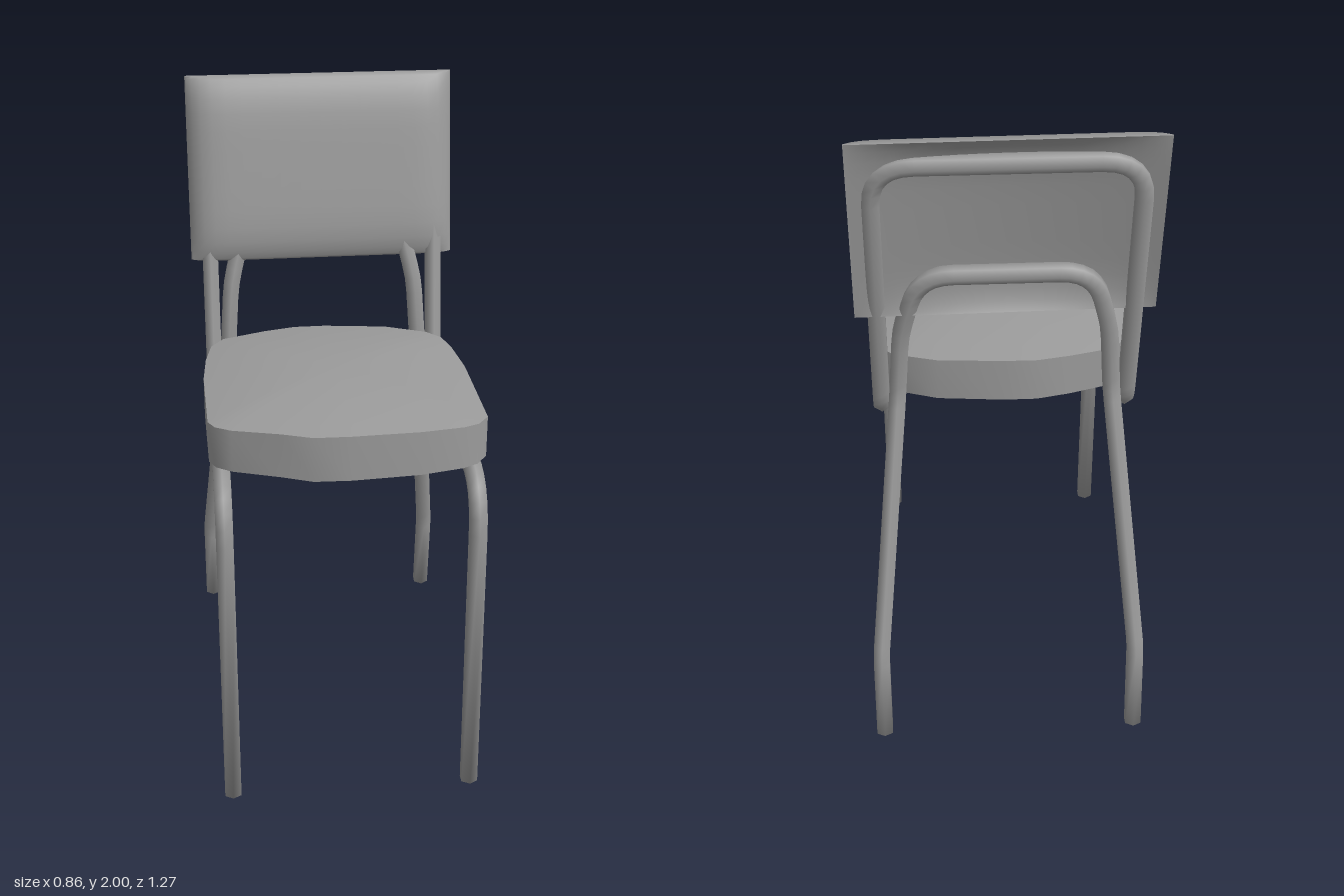
import * as THREE from 'three';
import { toCreasedNormals } from 'three/addons/utils/BufferGeometryUtils.js';

const V = (x, y, z) => new THREE.Vector3(x, y, z);
const material = new THREE.MeshStandardMaterial({ color: 0x9b9b9b });

// z of the leaning backrest line at height y
const leanZ = (y) => -0.352 - 0.184 * (y - 1.4);

function makeMesh(name, geometry, crease) {
  const mesh = new THREE.Mesh(toCreasedNormals(geometry, crease), material);
  mesh.name = name;
  return mesh;
}

function buildGeometry(positions, indices) {
  const g = new THREE.BufferGeometry();
  g.setAttribute('position', new THREE.Float32BufferAttribute(positions, 3));
  g.setIndex(indices);
  return g;
}

// Polyline with its corners rounded; each corner is [point, cut length]
function roundedPath(corners) {
  const out = [];
  corners.forEach(([p, cut], i) => {
    if (!cut) return out.push(p);
    const a = corners[i - 1][0].clone().sub(p).setLength(cut).add(p);
    const b = corners[i + 1][0].clone().sub(p).setLength(cut).add(p);
    out.push(...new THREE.QuadraticBezierCurve3(a, p, b).getPoints(cut > 0.05 ? 6 : 2));
  });
  return out;
}

// Six-sided capped tube swept along points
function tube(points, radius = 0.029, sides = 6) {
  const pos = [], idx = [], n = points.length;
  const normal = V(0, 0, 1);
  points.forEach((p, i) => {
    const t = V(0, 0, 0);
    if (i > 0) t.add(p.clone().sub(points[i - 1]).normalize());
    if (i < n - 1) t.add(points[i + 1].clone().sub(p).normalize());
    t.normalize();
    normal.addScaledVector(t, -normal.dot(t)).normalize();
    const side = t.clone().cross(normal);
    for (let k = 0; k < sides; k++) {
      const a = (k / sides) * Math.PI * 2;
      const v = p.clone().addScaledVector(normal, radius * Math.cos(a)).addScaledVector(side, radius * Math.sin(a));
      pos.push(v.x, v.y, v.z);
      if (i < n - 1) {
        const q = i * sides + k, r = i * sides + ((k + 1) % sides);
        idx.push(q, r, r + sides, q, r + sides, q + sides);
      }
    }
  });
  const last = (n - 1) * sides;
  for (let k = 1; k < sides - 1; k++) {
    idx.push(0, k + 1, k, last, last + k, last + k + 1);
  }
  return buildGeometry(pos, idx);
}

// Mirror the left half of a path to make a full hoop
function hoop(half) {
  const mirrored = half.map(([p, cut]) => [V(-p.x, p.y, p.z), cut]).reverse();
  return tube(roundedPath([...half, ...mirrored]));
}

// Seat cushion: outline rings rising to a soft dome, flat underneath
function seatGeometry() {
  const outline = [
    [-0.1, -0.285], [0, -0.285], [0.2, -0.265], [0.33, -0.217], [0.375, -0.17], [0.395, -0.08],
    [0.41, 0.08], [0.41, 0.46], [0.375, 0.51], [0.33, 0.535], [0.2, 0.566], [0, 0.583],
    [-0.11, 0.58], [-0.2, 0.542], [-0.34, 0.492], [-0.385, 0.46], [-0.405, 0.42], [-0.41, 0.1],
    [-0.4, -0.05], [-0.38, -0.16], [-0.34, -0.217], [-0.2, -0.262],
  ];
  const n = outline.length, cz = 0.15, pos = [], idx = [];
  const ring = (s, height) => outline.forEach(([x, z]) => pos.push(x * s, height(x), cz + (z - cz) * s));
  const rim = (x) => 1.187 + 0.012 * (1 - (x / 0.41) ** 2);
  const scales = [1, 0.85, 0.65, 0.45, 0.25];
  ring(1, () => 1.06);
  scales.forEach((s) => ring(s, (x) => 1.233 + (rim(x) - 1.233) * s * s));
  for (let r = 0; r < scales.length; r++) {
    for (let k = 0; k < n; k++) {
      const a = r * n + k, b = r * n + ((k + 1) % n);
      idx.push(a, a + n, b + n, a, b + n, b);
    }
  }
  const top = pos.length / 3, base = top + 1, inner = scales.length * n;
  pos.push(0, 1.233, cz, 0, 1.06, cz);
  for (let k = 0; k < n; k++) {
    const m = (k + 1) % n;
    idx.push(inner + k, top, inner + m, k, m, base);
  }
  return buildGeometry(pos, idx);
}

// Backrest: padded front thinning to sharp sides, hollowed rear, slight twist
function backrestGeometry() {
  const g = new THREE.BoxGeometry(2, 2, 2, 20, 14, 1);
  const p = g.attributes.position;
  for (let i = 0; i < p.count; i++) {
    const s = Math.sin((p.getX(i) * Math.PI) / 2);
    const t = Math.sin((p.getY(i) * Math.PI) / 2);
    const y = 1.71 + 0.29 * t;
    const offset = p.getZ(i) > 0
      ? -0.012 + (1 - s ** 14) * (0.024 + 0.034 * (1 - t ** 6))
      : -0.017 + 0.045 * (1 - s ** 2) * (1 - t ** 6);
    p.setXYZ(i, 0.432 * s, y, leanZ(y) + offset - 0.007 * s);
  }
  return g;
}

export function createModel() {
  const chair = new THREE.Group();
  chair.name = 'chair';

  // Front legs, seat rails and backrest hoop in one bent tube
  chair.add(makeMesh('mainFrame', hoop([
    [V(0.37, 0.004, 0.61), 0],
    [V(0.37, 1.03, 0.583), 0.16],
    [V(0.37, 1.03, leanZ(1.03)), 0.09],
    [V(0.37, 1.92, leanZ(1.92)), 0.12],
  ]), Math.PI));

  // Rear legs joined by an arch behind the backrest
  chair.add(makeMesh('rearLegFrame', hoop([
    [V(0.4, 0.008, -0.606), 0],
    [V(0.4, 0.3, -0.567), 0.03],
    [V(0.32, 1.12, -0.325), 0.04],
    [V(0.305, 1.34, leanZ(1.34)), 0.05],
    [V(0.25, 1.55, leanZ(1.55)), 0.1],
  ]), Math.PI));

  chair.add(makeMesh('seat', seatGeometry(), 0.6));
  chair.add(makeMesh('backrest', backrestGeometry(), 1.3));
  return chair;
}
